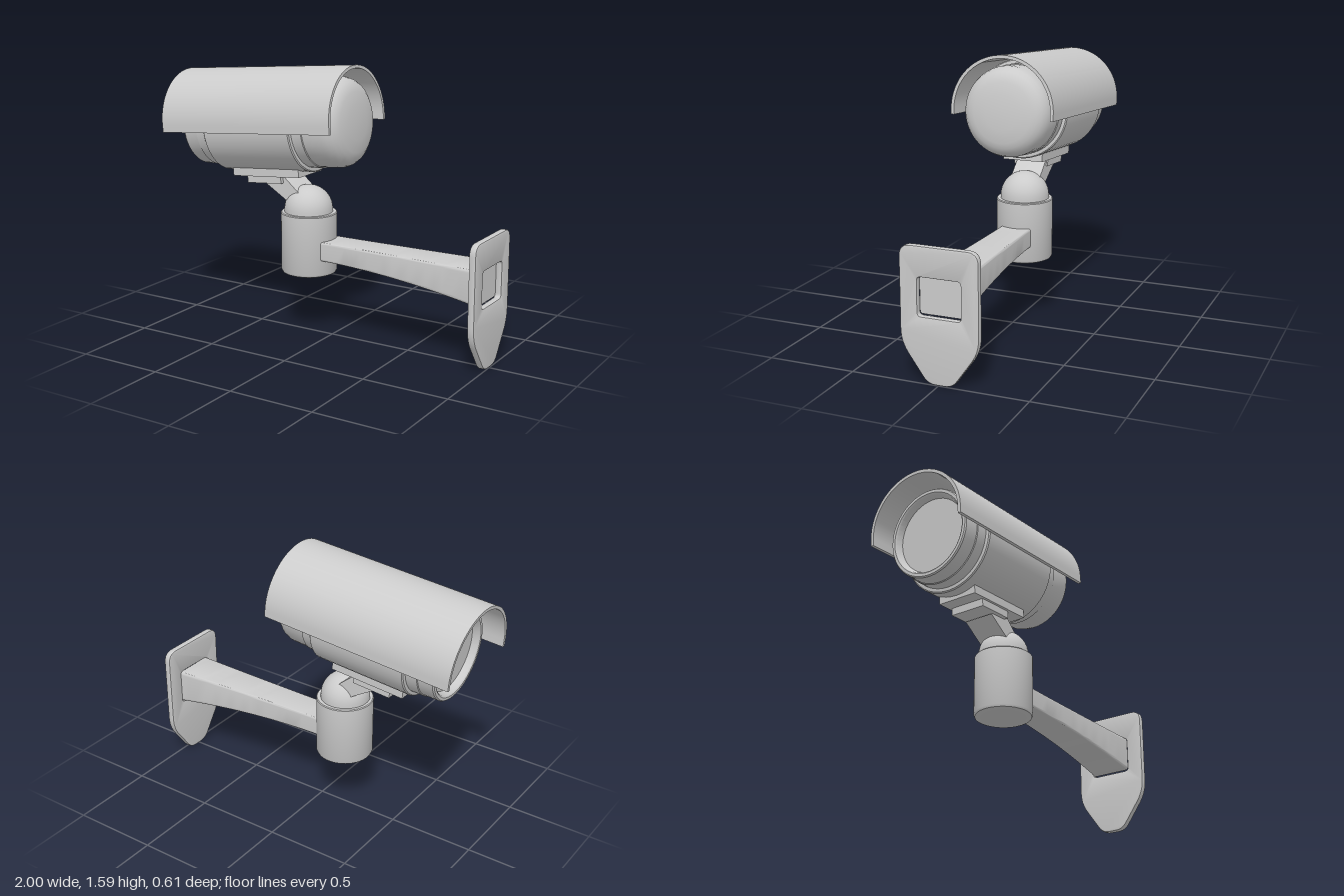
import * as THREE from 'three';
import { toCreasedNormals } from 'three/addons/utils/BufferGeometryUtils.js';

const grey = new THREE.MeshStandardMaterial({ color: 0xcccccc });
const MOUNT_Z = -0.008;

function add(parent, name, geometry, crease = 0.6) {
  const mesh = new THREE.Mesh(toCreasedNormals(geometry, crease), grey);
  mesh.name = name;
  parent.add(mesh);
  return mesh;
}

function lathe(points, segments = 48) {
  return new THREE.LatheGeometry(points.map(([r, y]) => new THREE.Vector2(r, y)), segments);
}

// Closed outline with rounded corners; each corner is [x, y, radius]
function roundedOutline(corners, Type = THREE.Shape) {
  const shape = new Type();
  const n = corners.length;
  corners.forEach(([x, y, r], i) => {
    const p = new THREE.Vector2(x, y);
    const toward = ([a, b]) => new THREE.Vector2(a, b).sub(p).setLength(r).add(p);
    const start = toward(corners[(i + n - 1) % n]);
    const end = toward(corners[(i + 1) % n]);
    if (i === 0) shape.moveTo(start.x, start.y);
    else shape.lineTo(start.x, start.y);
    shape.quadraticCurveTo(x, y, end.x, end.y);
  });
  shape.closePath();
  return shape;
}

function rectCorners(x0, y0, x1, y1, r) {
  return [[x0, y0, r], [x1, y0, r], [x1, y1, r], [x0, y1, r]];
}

// Extrude a z-y section along x, starting at x0
function extrudeAlongX(shape, x0, length, options = {}) {
  const geometry = new THREE.ExtrudeGeometry(shape, { depth: length, bevelEnabled: false, curveSegments: 6, ...options });
  return geometry.rotateY(Math.PI / 2).translate(x0, 0, 0);
}

function createCamera() {
  const camera = new THREE.Group();
  camera.name = 'cameraHead';

  // Housing: recessed front window, stepped rings and domed rear cap
  const housing = lathe([
    [0, -0.925], [0.21, -0.925], [0.222, -0.96], [0.23, -0.966], [0.246, -0.966], [0.252, -0.958],
    [0.254, -0.872], [0.259, -0.869], [0.26, -0.802], [0.278, -0.8], [0.284, -0.794],
    [0.284, -0.22], [0.278, -0.214], [0.26, -0.212], [0.26, -0.148], [0.255, -0.145],
    [0.254, -0.03], [0.243, 0.005], [0.225, 0.03], [0.2, 0.047], [0.17, 0.058], [0.1, 0.068], [0, 0.072],
  ]);
  add(camera, 'housing', housing.rotateZ(-Math.PI / 2));

  // Sunshade: half-round shell with short straight sides
  const R = 0.303, r = 0.285, cy = 0.013, low = -0.026;
  const shell = new THREE.Shape();
  shell.moveTo(R, low);
  shell.lineTo(R, cy);
  shell.absarc(0, cy, R, 0, Math.PI, false);
  shell.lineTo(-R, low);
  shell.lineTo(-r, low);
  shell.lineTo(-r, cy);
  shell.absarc(0, cy, r, Math.PI, 0, true);
  shell.lineTo(r, low);
  shell.closePath();
  add(camera, 'sunshade', extrudeAlongX(shell, -1.077, 1.144, { curveSegments: 40 }));

  // Two stacked mounting plates under the housing
  const plates = [['mountingPlate', -0.73, -0.275, -0.304, -0.25, 0.12],
    ['pivotPlate', -0.642, -0.41, -0.345, -0.3, 0.105]];
  for (const [name, x0, x1, y0, y1, halfWidth] of plates) {
    const box = new THREE.BoxGeometry(x1 - x0, y1 - y0, halfWidth * 2);
    add(camera, name, box.translate((x0 + x1) / 2, (y0 + y1) / 2, 0));
  }

  camera.position.set(0.1, 1.265, 0);
  camera.rotation.z = 0.083;
  return camera;
}

function createMount() {
  const mount = new THREE.Group();
  mount.name = 'wallMount';
  mount.position.z = MOUNT_Z;

  // Slanted link between the dome and the camera
  const link = new THREE.Shape([[-0.4, 0.872], [-0.235, 0.772], [-0.14, 0.81], [-0.27, 0.92], [-0.32, 0.93]]
    .map(([x, y]) => new THREE.Vector2(x, y)));
  add(mount, 'tiltLink', new THREE.ExtrudeGeometry(link, { depth: 0.176, bevelEnabled: false })
    .translate(0, 0, -0.088));

  // Ball dome on top of the post
  const dome = [[0.14, 0.7]];
  for (let i = 0; i <= 10; i++) {
    const a = (i / 10) * Math.PI / 2;
    dome.push([0.14 * Math.cos(a), 0.735 + 0.14 * Math.sin(a)]);
  }
  add(mount, 'panDome', lathe(dome).translate(-0.165, 0, 0));

  // Post with a softened lower edge
  add(mount, 'post', lathe([
    [0, 0.36], [0.145, 0.36], [0.156, 0.365], [0.1625, 0.378], [0.1625, 0.715], [0.158, 0.72], [0, 0.72],
  ]).translate(-0.1625, 0, 0));

  // Arm: rounded section that widens and deepens toward the wall
  const x0 = -0.08, x1 = 0.965;
  const section = roundedOutline(rectCorners(-1, -1, 1, 0, 0.12));
  const arm = extrudeAlongX(section, x0, x1 - x0, { steps: 20 });
  const pos = arm.attributes.position;
  for (let i = 0; i < pos.count; i++) {
    const t = Math.max(0, (pos.getX(i) + 0.03) / 0.99);
    const height = 0.112 + 0.091 * Math.pow(t, 1.9);
    const halfWidth = 0.09 + 0.031 * Math.pow(t, 1.4);
    pos.setY(i, 0.571 + pos.getY(i) * height);
    pos.setZ(i, pos.getZ(i) * halfWidth);
  }
  arm.computeVertexNormals();
  add(mount, 'arm', arm);

  // Wall plate with tapered foot and an opening behind the arm
  const b = 0.008;
  const outline = roundedOutline([
    [-0.065, b, 0.04], [0.065, b, 0.04], [0.212, 0.215, 0.07], [0.212, 0.735 - b, 0.055],
    [-0.212, 0.735 - b, 0.055], [-0.212, 0.215, 0.07],
  ]);
  outline.holes.push(roundedOutline(rectCorners(-0.121 - b, 0.362 - b, 0.121 + b, 0.571 + b, 0.03), THREE.Path));
  add(mount, 'wallPlate', extrudeAlongX(outline, 0.96 + b, 0.04 - 2 * b,
    { bevelEnabled: true, bevelThickness: b, bevelSize: b, bevelSegments: 2 }));
  return mount;
}

export function createModel() {
  const model = new THREE.Group();
  model.name = 'securityCamera';
  model.add(createCamera(), createMount());
  return model;
}
